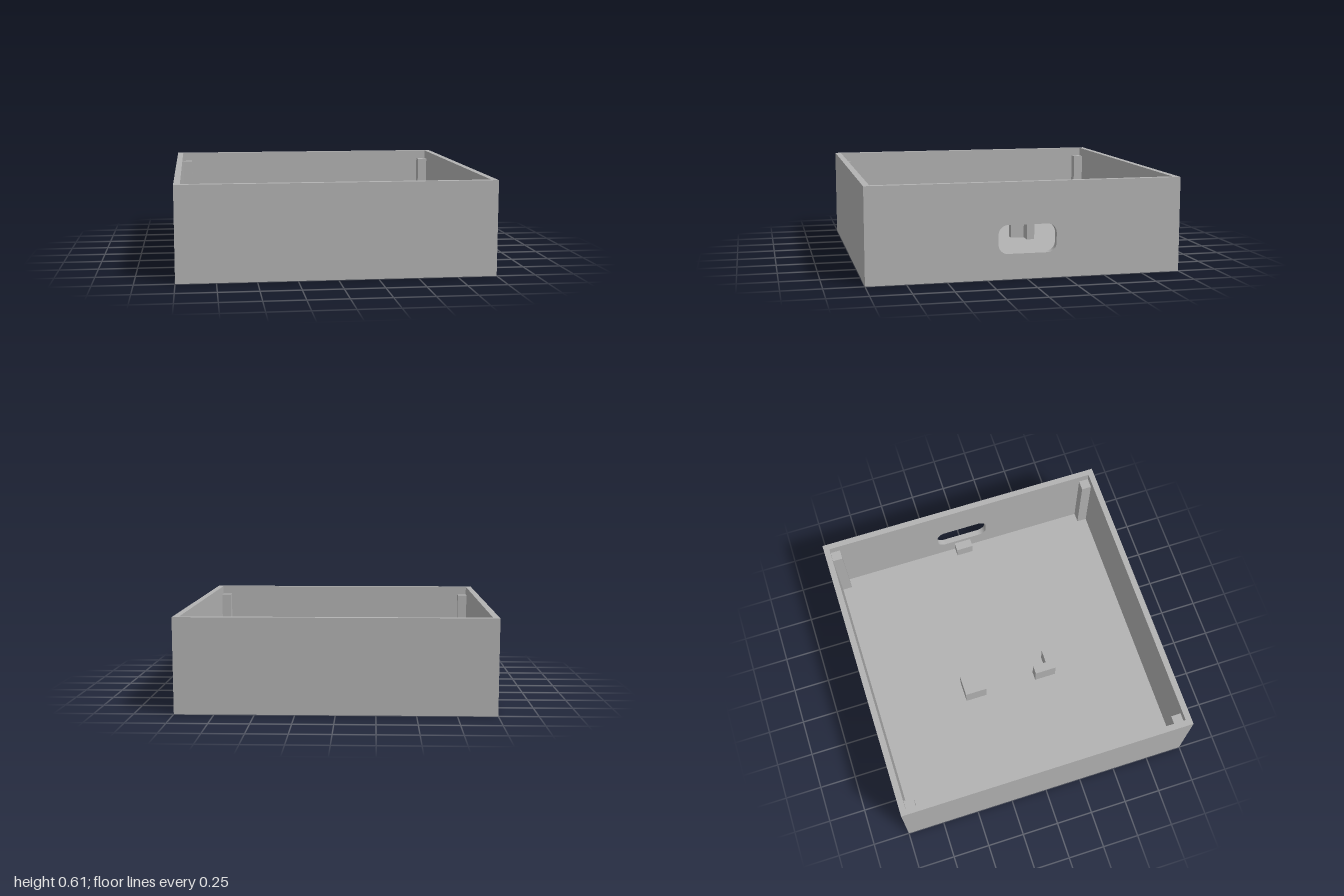
import * as THREE from 'three';

const HEIGHT = 0.605, WALL = 0.04, INNER = 1 - WALL;

export function createModel() {
  const model = new THREE.Group();
  model.name = 'openBox';
  const grey = new THREE.MeshStandardMaterial({ color: 0xb2b2b2 });
  grey.name = 'grey';

  const add = (name, geometry) => {
    const mesh = new THREE.Mesh(geometry, grey);
    mesh.name = name;
    model.add(mesh);
    return mesh;
  };

  // Box given by its lower and upper limits on each axis
  const block = (name, x0, x1, y0, y1, z0, z1) =>
    add(name, new THREE.BoxGeometry(x1 - x0, y1 - y0, z1 - z0))
      .position.set((x0 + x1) / 2, (y0 + y1) / 2, (z0 + z1) / 2);

  const polygon = (points) => new THREE.Shape(points.map(([x, y]) => new THREE.Vector2(x, y)));

  // Plan outline in (x, -z), raised from y0 to y1
  const raise = (name, points, y0, y1) => {
    const geometry = new THREE.ExtrudeGeometry(polygon(points), { depth: y1 - y0, bevelEnabled: false });
    geometry.rotateX(-Math.PI / 2).translate(0, y0, 0);
    add(name, geometry);
  };

  // Floor, and the front, left-hand and back walls as one U
  block('floor', -1, 1, 0, WALL, -1, 1);
  raise('threeWalls', [
    [INNER, 1], [-1, 1], [-1, -1], [INNER, -1],
    [INNER, -INNER], [-INNER, -INNER], [-INNER, INNER], [INNER, INNER],
  ], WALL, HEIGHT);

  // Side wall with a rounded cable slot, drawn in (-z, y)
  const wall = polygon([[-1, WALL], [1, WALL], [1, HEIGHT], [-1, HEIGHT]]);
  const a0 = -0.18, a1 = 0.19, b0 = 0.16, b1 = 0.34, r = 0.06;
  const slot = new THREE.Path();
  slot.moveTo(a0 + r, b0).lineTo(a1 - r, b0);
  slot.absarc(a1 - r, b0 + r, r, -Math.PI / 2, 0, false);
  slot.absarc(a1 - r, b1 - r, r, 0, Math.PI / 2, false);
  slot.absarc(a0 + r, b1 - r, r, Math.PI / 2, Math.PI, false);
  slot.absarc(a0 + r, b0 + r, r, Math.PI, Math.PI * 1.5, false);
  wall.holes.push(slot);
  const slotted = new THREE.ExtrudeGeometry(wall, { depth: WALL, bevelEnabled: false, curveSegments: 10 });
  slotted.rotateY(Math.PI / 2).translate(INNER, 0, 0);
  add('slottedWall', slotted);

  // Corner posts that stop short of the rim
  const post = 0.067, mid = INNER - post / 2;
  for (const x of [-mid, mid]) {
    for (const z of [-mid, mid]) {
      block('cornerPost', x - post / 2, x + post / 2, WALL, 0.545, z - post / 2, z + post / 2);
    }
  }

  // Pair of L-shaped locating brackets, mirrored front to back
  for (const side of [1, -1]) {
    const outline = [
      [-0.22, 0.18], [-0.16, 0.18], [-0.16, 0.275], [-0.07, 0.275], [-0.07, 0.33], [-0.22, 0.33],
    ].map(([x, z]) => [x, side > 0 ? z + 0.01 : -z]);
    raise('cornerBracket', outline, WALL, 0.18);
  }

  // Small rest below the slot
  block('slotRest', 0.9, INNER, WALL, 0.128, -0.065, 0.055);

  return model;
}
